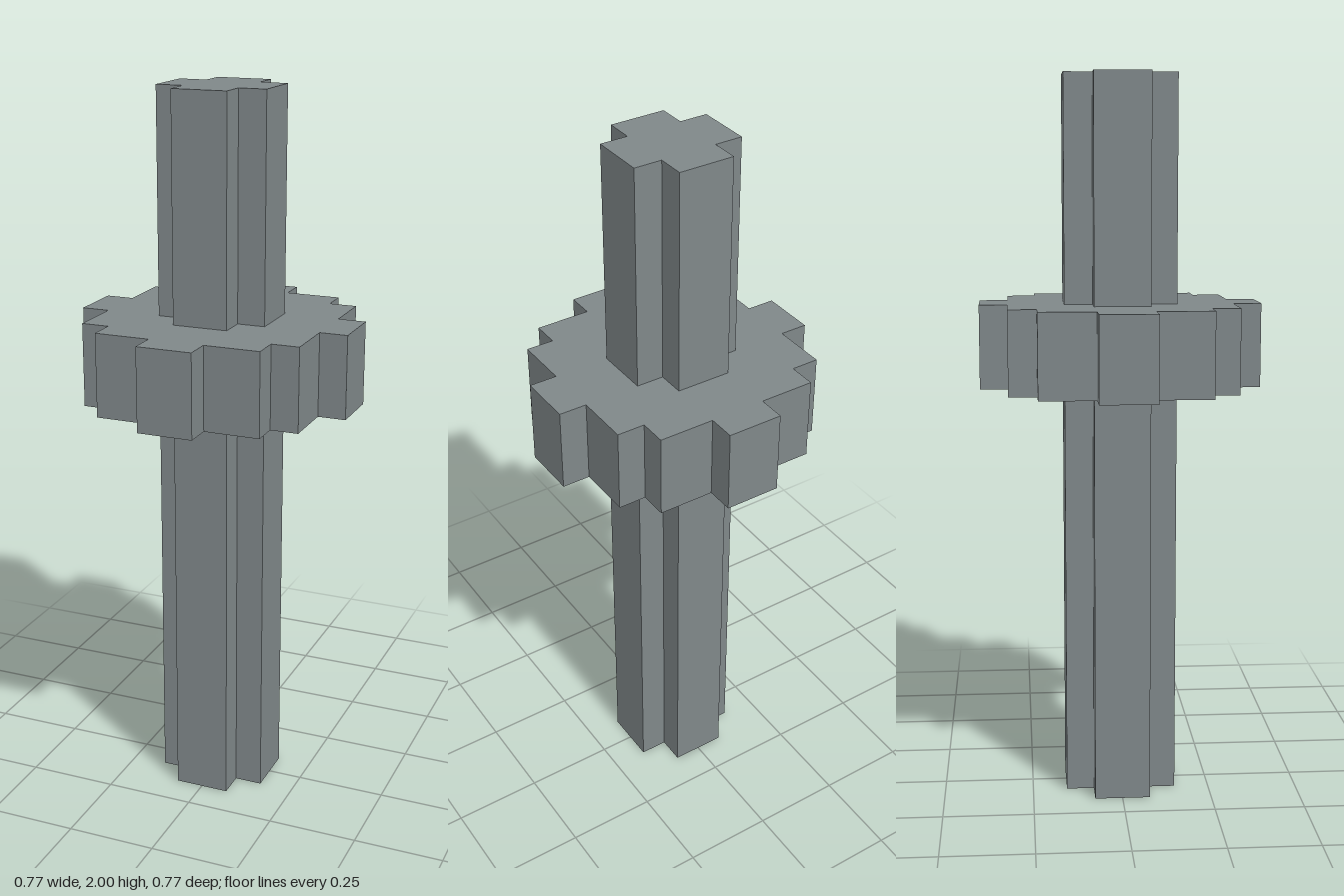
import * as THREE from 'three';

// Everything sits on a grid of 26 cells over the full height
const U = 2 / 26;

// Stepped outline: one quarter (in cells) turned four times about the centre
function steppedShape(quarter) {
  const points = [];
  for (let turn = 0; turn < 4; turn++) {
    for (const [px, py] of quarter) {
      let x = px, y = py;
      for (let i = 0; i < turn; i++) [x, y] = [-y, x];
      points.push(new THREE.Vector2(x * U, y * U));
    }
  }
  return new THREE.Shape(points);
}

// Upright prism between two heights given in cells
function prism(name, quarter, bottom, top, material) {
  const geometry = new THREE.ExtrudeGeometry(steppedShape(quarter), {
    depth: (top - bottom) * U,
    bevelEnabled: false,
  });
  geometry.rotateX(-Math.PI / 2);
  geometry.translate(0, bottom * U, 0);
  const mesh = new THREE.Mesh(geometry, material);
  mesh.name = name;
  return mesh;
}

export function createModel() {
  const model = new THREE.Group();
  model.name = 'collaredShaft';

  const grey = new THREE.MeshStandardMaterial({ color: 0x7f8789 });
  grey.name = 'steel grey';

  // Cross-shaped shaft over the full height
  model.add(prism('shaft', [[2, 1], [1, 1], [1, 2]], 0, 26, grey));

  // Toothed collar above the middle
  model.add(prism('collar',
    [[5, 1], [4, 1], [4, 3], [3, 3], [3, 4], [1, 4], [1, 5]], 15, 18, grey));

  return model;
}
